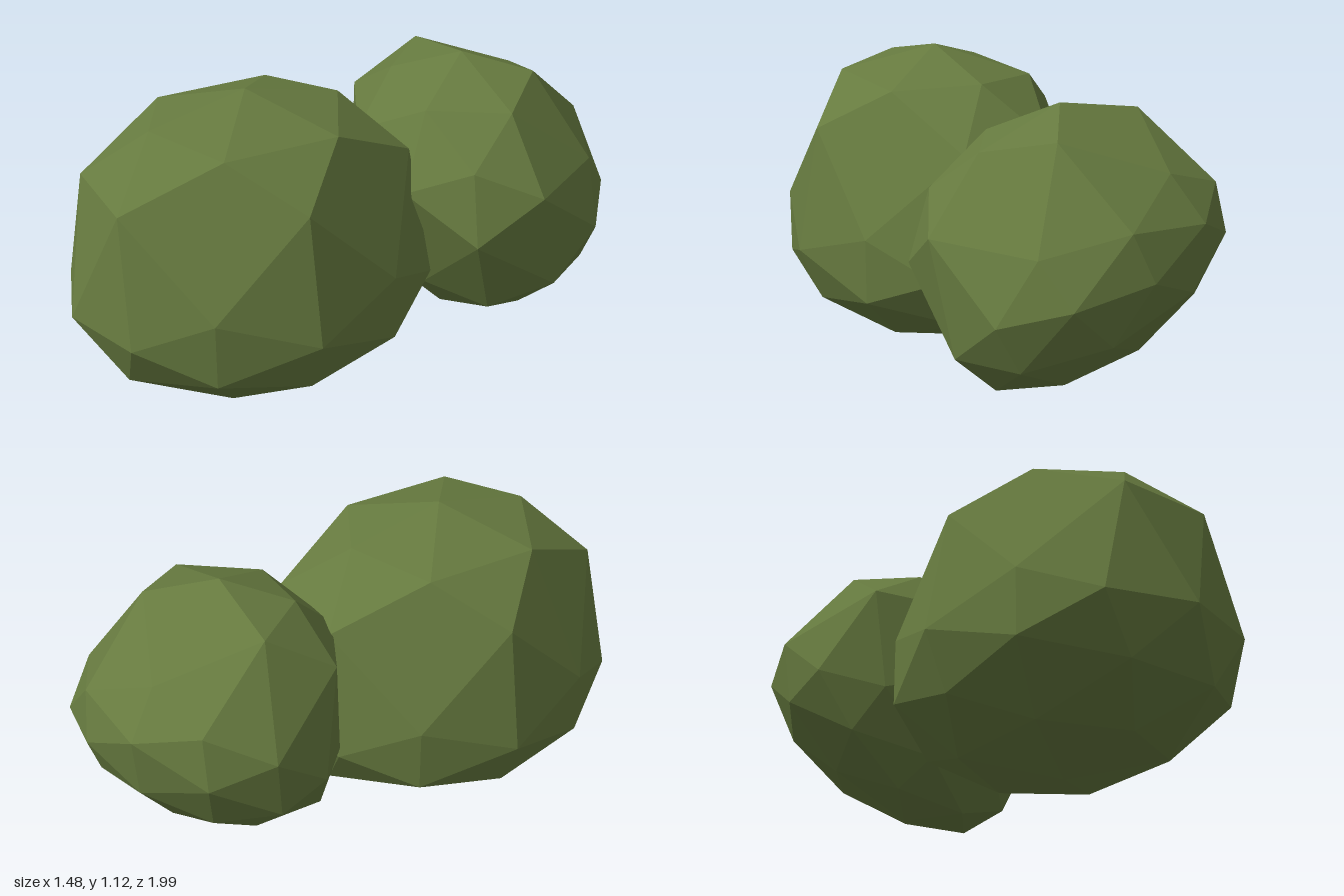
import * as THREE from 'three';

const leafMaterial = new THREE.MeshStandardMaterial({ color: 0x667a3f, flatShading: true });

// Faceted clump: a low-poly ball whose lower part is squashed and pushed down
function makeClump(name, size) {
  const geometry = new THREE.IcosahedronGeometry(1, 1);
  const pos = geometry.attributes.position;
  for (let i = 0; i < pos.count; i++) {
    const y = pos.getY(i);
    if (y < 0.4) pos.setY(i, 0.7 * y - 0.3);
  }
  geometry.scale(0.684 * size, 0.56 * size, 0.582 * size);
  geometry.computeVertexNormals();
  const mesh = new THREE.Mesh(geometry, leafMaterial);
  mesh.name = name;
  return mesh;
}

export function createModel() {
  const bush = new THREE.Group();
  bush.name = 'bush';

  // Large upright clump at the front
  const front = makeClump('largeClump', 1);
  front.position.set(-0.17, 0.56, 0.34);
  front.rotation.y = 1.133;
  bush.add(front);

  // Smaller clump behind, tipped forward
  const back = makeClump('smallClump', 0.82);
  back.position.set(0.21, 0.61, -0.482);
  const xAxis = new THREE.Vector3(-0.866, 0.357, -0.346).normalize();
  const up = new THREE.Vector3(0.041, 0.749, 0.653);
  const zAxis = new THREE.Vector3().crossVectors(xAxis, up).normalize();
  const yAxis = new THREE.Vector3().crossVectors(zAxis, xAxis);
  back.quaternion.setFromRotationMatrix(new THREE.Matrix4().makeBasis(xAxis, yAxis, zAxis));
  bush.add(back);

  return bush;
}
